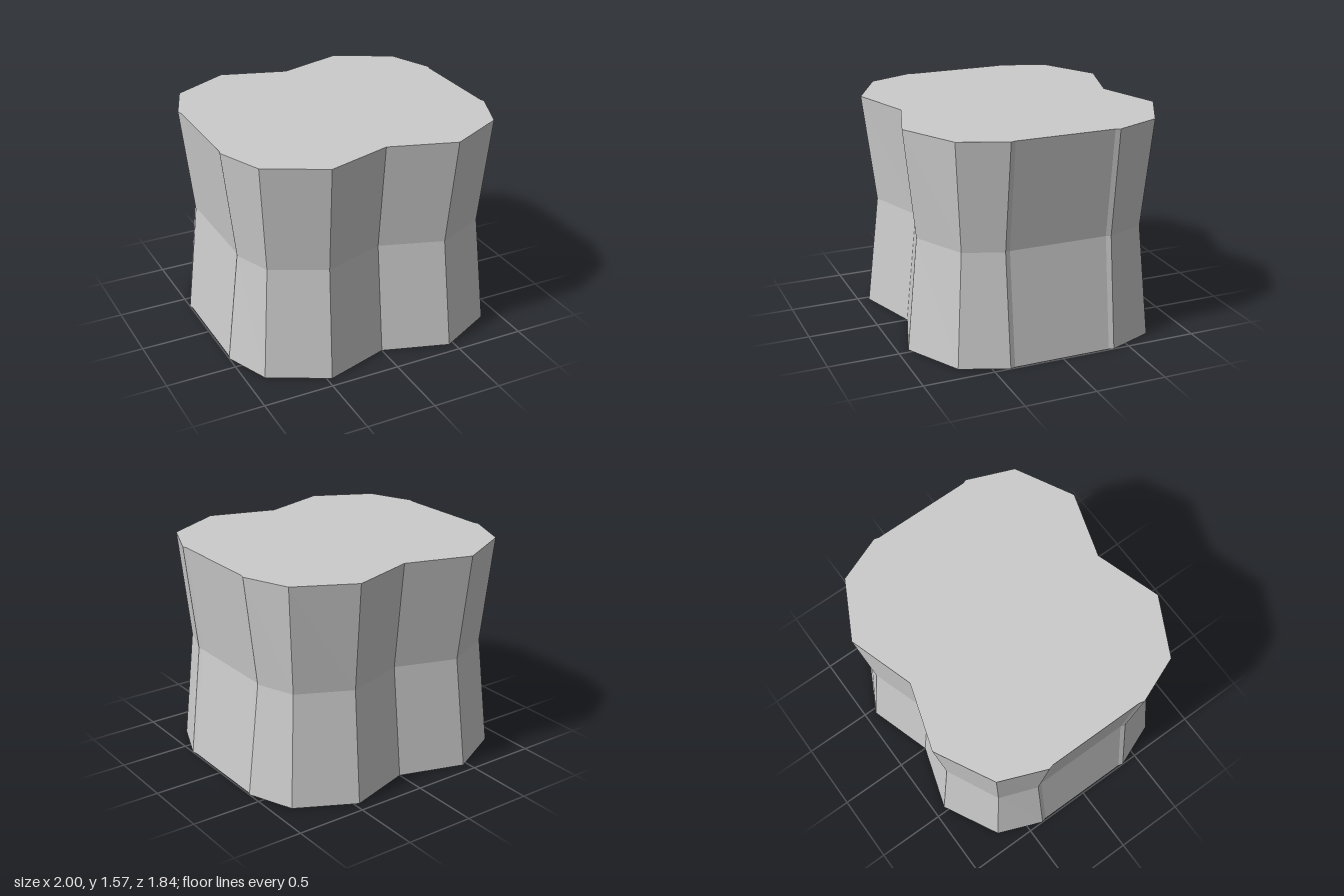
import * as THREE from 'three';

const HEIGHT = 1.57, WAIST = 0.8;

// One quadrant of the outline: rim x, z, then waist x, z
const quarter = [
  [0, 0.775, 0, 0.69],
  [0.465, 0.922, 0.44, 0.835],
  [0.87, 0.71, 0.81, 0.655],
  [1.0, 0.385, 0.91, 0.385],
  [0.99, 0.35, 0.9, 0.35],
];

// Mirror the quadrant into a full closed outline
function fullOutline() {
  const mirror = (list, sx, sz) =>
    list.map(([x, z, wx, wz]) => [x * sx, z * sz, wx * sx, wz * sz]);
  const back = [...quarter].reverse();
  return [
    ...quarter,
    ...mirror(back, 1, -1),
    ...mirror(quarter.slice(1), -1, -1),
    ...mirror(back.slice(0, -1), -1, 1),
  ];
}

export function createModel() {
  const outline = fullOutline();
  const shape = new THREE.Shape(outline.map(([x, z]) => new THREE.Vector2(x, -z)));

  // Straight prism with a middle ring, stood upright
  const geometry = new THREE.ExtrudeGeometry(shape, { depth: HEIGHT, steps: 2, bevelEnabled: false });
  geometry.rotateX(-Math.PI / 2);

  // Pull the middle ring in to form the waist
  const p = geometry.attributes.position;
  for (let i = 0; i < p.count; i++) {
    if (Math.abs(p.getY(i) - HEIGHT / 2) > 0.01) continue;
    const x = p.getX(i), z = p.getZ(i);
    const point = outline.find((o) => Math.hypot(o[0] - x, o[1] - z) < 0.001);
    p.setXYZ(i, point[2], WAIST, point[3]);
  }
  geometry.computeVertexNormals();

  const body = new THREE.Mesh(
    geometry,
    new THREE.MeshStandardMaterial({ color: 0xcccccc, flatShading: true })
  );
  body.name = 'waistedBlock';

  const group = new THREE.Group();
  group.name = 'model';
  group.add(body);
  return group;
}
